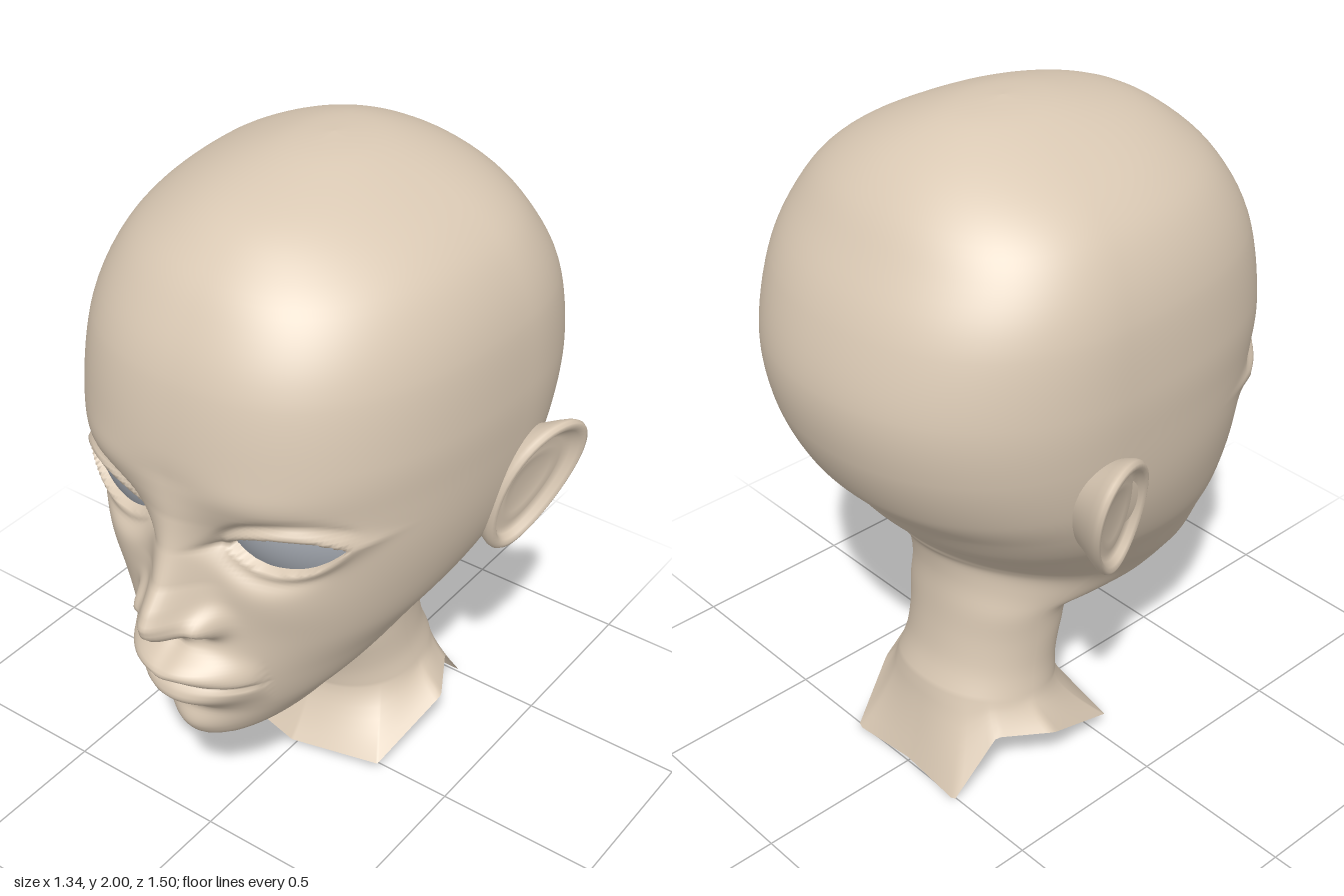
import * as THREE from 'three';

const { smoothstep, lerp } = THREE.MathUtils;
const bell = (d, width) => Math.exp(-((d / width) ** 2));

// Smooth surface through rows of points; columns may wrap round
function gridGeometry(rows, { closed = false, flip = false } = {}) {
  const n = rows[0].length, index = [];
  for (let i = 0; i < rows.length - 1; i++) {
    for (let j = 0; j < (closed ? n : n - 1); j++) {
      const k = (j + 1) % n;
      const a = i * n + j, b = a + n, c = i * n + k, d = c + n;
      if (flip) index.push(a, c, b, c, d, b);
      else index.push(a, b, c, c, b, d);
    }
  }
  const geometry = new THREE.BufferGeometry();
  geometry.setAttribute('position', new THREE.Float32BufferAttribute(rows.flat(2), 3));
  geometry.setIndex(index);
  geometry.computeVertexNormals();
  return geometry;
}

// Catmull-Rom blend of four number lists
function spline(p0, p1, p2, p3, t) {
  return p1.map((v, i) => v + 0.5 * t * (p2[i] - p0[i]
    + t * (2 * p0[i] - 5 * v + 4 * p2[i] - p3[i]
    + t * (3 * (v - p2[i]) + p3[i] - p0[i]))));
}

// Piecewise linear lookup in [position, ...values] entries
function lookup(table, t) {
  let i = 0;
  while (i < table.length - 2 && t > table[i + 1][0]) i++;
  const a = table[i], b = table[i + 1];
  const f = THREE.MathUtils.clamp((t - a[0]) / (b[0] - a[0]), 0, 1);
  return a.slice(1).map((v, k) => lerp(v, b[k + 1], f));
}

// Almond eye opening: lid lines at u = -1 (inner corner) to 1 (outer corner)
const EYE_X = 0.28, EYE_W = 0.15;
function lids(u) {
  const open = Math.max(0, 1 - Math.abs(u) ** 2.4), mid = 1.137 + 0.023 * u;
  return { mid, top: mid + 0.052 * open, bottom: mid - 0.066 * open };
}
const eyeZ = (x, y) => 0.52 - 2.2 * (x - 0.2) ** 2 + 0.3 * (y - 1.13) - 2 * (y - 1.13) ** 2;

// Nose: y, ridge height, ridge width
const NOSE = [[0.775, 0, 0.06], [0.8, 0.03, 0.065], [0.825, 0.08, 0.078], [0.845, 0.138, 0.084],
  [0.87, 0.165, 0.086], [0.9, 0.172, 0.083], [0.94, 0.15, 0.074], [1.0, 0.1, 0.068],
  [1.1, 0.055, 0.072], [1.2, 0.022, 0.09], [1.32, 0, 0.11]];

// Moves a point of the plain head forward or back to model the face
function faceZ(px, y, z) {
  const x = Math.abs(px), weight = smoothstep(z, 0.15, 0.35);
  if (weight === 0 || y < 0.4 || y > 1.5) return z;
  let f = z;

  // Brow, eye socket and cheekbone
  f += 0.012 * bell(x - 0.25, 0.16) * bell(y - 1.3, 0.06);
  f -= 0.03 * bell(x - 0.2, 0.11) * bell(y - 1.13, 0.09);
  f += 0.014 * bell(x - 0.3, 0.12) * bell(y - 0.95, 0.1);

  // Nose with wings and nostrils
  const [ridge, width] = lookup(NOSE, y);
  f += ridge * bell(x, width);
  f += 0.05 * bell(x - 0.108, 0.034) * bell(y - 0.872, 0.042);
  f -= 0.025 * bell(x - 0.06, 0.028) * bell(y - 0.828, 0.016);

  // Mouth
  f += 0.05 * bell(x, 0.19) * bell(y - 0.67, 0.12);
  f -= 0.008 * bell(x, 0.025) * bell(y - 0.785, 0.03);
  const m = x / 0.22, lip = Math.max(0, 1 - m * m) ** 0.7;
  f += 0.078 * lip * bell(y - (0.716 - 0.035 * m * m - 0.006 * bell(x, 0.03)), 0.044);
  f += 0.05 * lip * bell(y - (0.605 + 0.035 * m * m), 0.046);
  f -= 0.022 * smoothstep(0.23 - x, 0, 0.04) * bell(y - 0.66, 0.01);
  f -= 0.01 * bell(x, 0.12) * bell(y - 0.525, 0.03);
  f += 0.018 * bell(x, 0.1) * bell(y - 0.45, 0.05);

  // Eyelids wrap the eye, and the opening sinks behind it
  const u = (x - EYE_X) / EYE_W, { mid, top, bottom } = lids(u);
  const inside = Math.min(top - y, y - bottom) - Math.max(0, Math.abs(u) - 1) * EYE_W;
  const ez = eyeZ(x, y), near = 1 - smoothstep(Math.abs(u), 0.9, 1.2);
  f = lerp(f, ez + 0.02, bell(Math.min(inside, 0), 0.042));
  f += 0.013 * near * bell(inside + 0.018, 0.014);
  if (y > mid) f -= 0.01 * near * bell(inside + 0.05, 0.016);
  f = lerp(f, ez - 0.03, smoothstep(inside, -0.006, 0.01));
  return lerp(z, f, weight);
}

// Tilted rings from crown to neck:
// front y, front z, back y, back z, half width, z of the widest point, front squareness
const RINGS = [
  [2.0, -0.1, 2.0, -0.1, 0, -0.1, 2], [1.985, 0.07, 1.985, -0.27, 0.125, -0.1, 2],
  [1.93, 0.29, 1.93, -0.42, 0.275, -0.13, 2.1], [1.85, 0.42, 1.85, -0.53, 0.412, -0.16, 2.2],
  [1.75, 0.51, 1.75, -0.61, 0.502, -0.18, 2.35], [1.6, 0.585, 1.6, -0.7, 0.56, -0.2, 2.45],
  [1.4, 0.62, 1.4, -0.755, 0.578, -0.2, 2.5], [1.25, 0.61, 1.22, -0.735, 0.57, -0.19, 2.5],
  [1.1, 0.585, 1.06, -0.665, 0.55, -0.15, 2.5], [0.95, 0.575, 0.96, -0.58, 0.517, -0.11, 2.4],
  [0.8, 0.57, 0.88, -0.52, 0.467, -0.06, 2.3], [0.66, 0.565, 0.84, -0.48, 0.405, -0.03, 2.15],
  [0.53, 0.56, 0.81, -0.455, 0.345, 0, 2.0], [0.44, 0.55, 0.785, -0.435, 0.293, 0, 1.85],
  [0.385, 0.515, 0.765, -0.425, 0.258, 0, 1.75], [0.365, 0.42, 0.73, -0.405, 0.238, -0.03, 1.8],
  [0.4, 0.23, 0.65, -0.39, 0.228, -0.1, 2], [0.435, 0.08, 0.56, -0.39, 0.222, -0.17, 2],
  [0.37, 0.04, 0.46, -0.395, 0.22, -0.18, 2], [0.28, 0.01, 0.36, -0.41, 0.225, -0.2, 2],
  [0.21, 0, 0.28, -0.44, 0.243, -0.22, 2],
];
const RING_STEPS = [5, 5, 5, 5, 5, 7, 9, 15, 15, 15, 15, 14, 9, 6, 5, 5, 4, 4, 4, 4];
// Ragged lower edge of the neck, front (0) to back (1): position, x, y, z
const RIM = [[0, 0, 0.03, 0.1], [0.3, 0.28, 0.04, 0.04], [0.52, 0.335, 0.16, -0.22],
  [0.7, 0.25, 0.175, -0.37], [0.8, 0.22, 0.0, -0.51], [1, 0, 0.015, -0.5]];

function headGeometry() {
  // Closer columns across the face than round the back
  const angles = [];
  for (let j = 0; j < 160; j++) angles.push(-Math.PI / 2 + Math.PI * j / 160);
  for (let j = 0; j < 64; j++) angles.push(Math.PI / 2 + Math.PI * j / 64);

  const ring = ([yf, zf, yb, zb, w, zc, squareness]) => angles.map((a) => {
    const s = Math.sin(a), c = Math.cos(a), n = c > 0 ? squareness : 2.15;
    const r = (Math.abs(s) ** n + Math.abs(c) ** n) ** (-1 / n);
    const x = w * r * s, z = zc + (c > 0 ? zf - zc : zc - zb) * r * c;
    const back = zf - zb < 1e-4 ? 0 : Math.max(0, (zf - z) / (zf - zb)) ** 1.2;
    const y = lerp(yf, yb, back);
    return [x, y, faceZ(x, y, z)];
  });

  const rows = [], last = RINGS.length - 1;
  RING_STEPS.forEach((steps, i) => {
    const keys = [Math.max(i - 1, 0), i, i + 1, Math.min(i + 2, last)].map((k) => RINGS[k]);
    for (let k = 0; k < steps; k++) rows.push(ring(spline(...keys, k / steps)));
  });
  const neck = ring(RINGS[last]);
  for (let k = 0; k <= 6; k++) {
    rows.push(neck.map((p, j) => {
      const turn = angles[j] > Math.PI ? angles[j] - 2 * Math.PI : angles[j];
      const [x, y, z] = lookup(RIM, Math.abs(turn) / Math.PI), t = k / 6, flare = t ** 1.4;
      return [lerp(p[0], Math.sign(turn) * x, flare), lerp(p[1], y, t), lerp(p[2], z, flare)];
    }));
  }
  return gridGeometry(rows, { closed: true });
}

// Eye: curved almond plate, slightly larger than the opening
function eyeGeometry(side) {
  const rows = [];
  for (let i = 0; i <= 12; i++) {
    const row = [];
    for (let j = 0; j <= 32; j++) {
      const u = -1 + j / 16, { top, bottom } = lids(u), x = EYE_X + u * EYE_W * 1.04;
      const y = lerp(top + 0.009, bottom - 0.009, i / 12);
      row.push([side * x, y, eyeZ(x, y)]);
    }
    rows.push(row);
  }
  return gridGeometry(rows, { flip: side < 0 });
}

// Ear: shell, rolled rim and bowl as [outline scale, outward height]
const EAR = [[0.68, -0.13], [0.82, -0.07], [0.93, -0.032], [0.99, -0.008], [1, 0.006], [0.97, 0.017],
  [0.91, 0.02], [0.85, 0.012], [0.79, -0.004], [0.7, -0.014], [0.58, -0.008], [0.45, -0.014],
  [0.25, -0.018], [0, -0.018]];

function earGeometry(side) {
  const rows = EAR.map(([scale, height]) => Array.from({ length: 48 }, (_, j) => {
    const a = 2 * Math.PI * j / 48, s = Math.sin(a), c = Math.cos(a);
    const dy = 0.21 * s * scale;
    const z = -0.235 + 0.132 * (1 + 0.2 * s) * c * scale - 0.2 * dy;
    const x = 0.58 + 0.21 * dy - 0.32 * (z + 0.24) + height;
    return [side * x, 1.05 + dy, z];
  }));
  return gridGeometry(rows, { closed: true, flip: side < 0 });
}

export function createModel() {
  const skin = new THREE.MeshStandardMaterial({ color: 0xdac9b4, side: THREE.DoubleSide });
  skin.name = 'skin';
  const eyeGrey = new THREE.MeshStandardMaterial({ color: 0xa9aeb6, side: THREE.DoubleSide });
  eyeGrey.name = 'eyeGrey';

  const model = new THREE.Group();
  model.name = 'head';
  const add = (name, geometry, material) => {
    const mesh = new THREE.Mesh(geometry, material);
    mesh.name = name;
    model.add(mesh);
  };
  add('headAndNeck', headGeometry(), skin);
  for (const [label, side] of [['left', 1], ['right', -1]]) {
    add(`${label}Eye`, eyeGeometry(side), eyeGrey);
    add(`${label}Ear`, earGeometry(side), skin);
  }
  return model;
}
